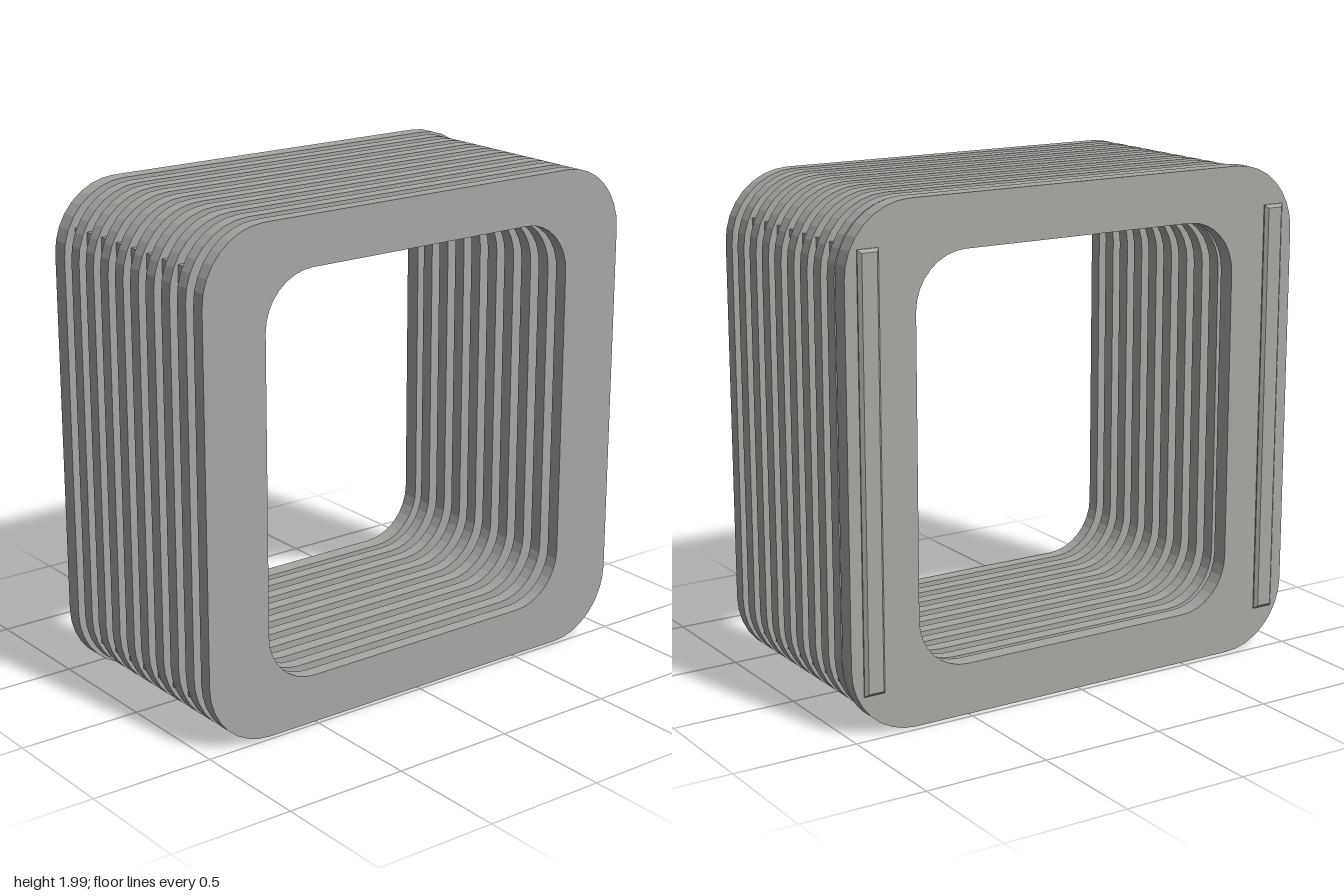
import * as THREE from 'three';

const CENTER_Y = 0.993;

// Traces a rounded rectangle of half width w and half height h into a path
function roundedRect(path, w, h, r) {
  path.moveTo(w, -h + r);
  path.lineTo(w, h - r);
  path.absarc(w - r, h - r, r, 0, Math.PI / 2);
  path.absarc(-w + r, h - r, r, Math.PI / 2, Math.PI);
  path.absarc(-w + r, -h + r, r, Math.PI, Math.PI * 1.5);
  path.absarc(w - r, -h + r, r, Math.PI * 1.5, Math.PI * 2);
  return path;
}

// Flat square ring with a rounded square hole, from z = 0 to z = depth
function ringGeometry(w, h, holeW, holeH, depth) {
  const shape = roundedRect(new THREE.Shape(), w, h, 0.27);
  shape.holes.push(roundedRect(new THREE.Path(), holeW, holeH, 0.21));
  return new THREE.ExtrudeGeometry(shape, { depth, bevelEnabled: false, curveSegments: 4 });
}

// Box with chamfered ends, centred on the origin
function chamferedBar(w, h, d, c) {
  const x = w / 2 - c, y = h / 2 - c;
  const shape = new THREE.Shape([
    new THREE.Vector2(-x, -y), new THREE.Vector2(x, -y),
    new THREE.Vector2(x, y), new THREE.Vector2(-x, y),
  ]);
  const geo = new THREE.ExtrudeGeometry(shape, {
    depth: d - 2 * c, bevelThickness: c, bevelSize: c, bevelSegments: 1,
  });
  return geo.translate(0, 0, -d / 2 + c);
}

export function createModel() {
  const group = new THREE.Group();
  const grey = new THREE.MeshStandardMaterial({ color: 0xa6a8a4, flatShading: true });
  grey.name = 'grey metal';
  const gold = new THREE.MeshStandardMaterial({ color: 0xc9a93c, flatShading: true });
  gold.name = 'gold';

  const add = (name, geo, mat, x, z) => {
    const mesh = new THREE.Mesh(geo, mat);
    mesh.name = name;
    mesh.position.set(x, CENTER_Y, z);
    group.add(mesh);
  };

  // Nine thin rings in a row
  const thin = ringGeometry(0.988, 0.987, 0.72, 0.793, 0.055);
  for (let i = 0; i < 9; i++) add('ring' + (i + 1), thin, grey, 0, 0.436 - i * 0.1016);

  // Thicker ring closing the back
  add('backRing', ringGeometry(1, 0.993, 0.712, 0.79, 0.068), grey, 0, -0.473);

  // Side bars holding the rings, and inner strips
  const bar = chamferedBar(0.086, 1.66, 0.865, 0.012);
  const strip = chamferedBar(0.026, 1.0, 0.49, 0.006);
  for (const [side, s] of [['left', 1], ['right', -1]]) {
    add(side + 'Bar', bar, grey, s * 0.907, -0.0575);
    add(side + 'InnerStrip', strip, gold, s * 0.78, -0.06);
  }
  return group;
}
